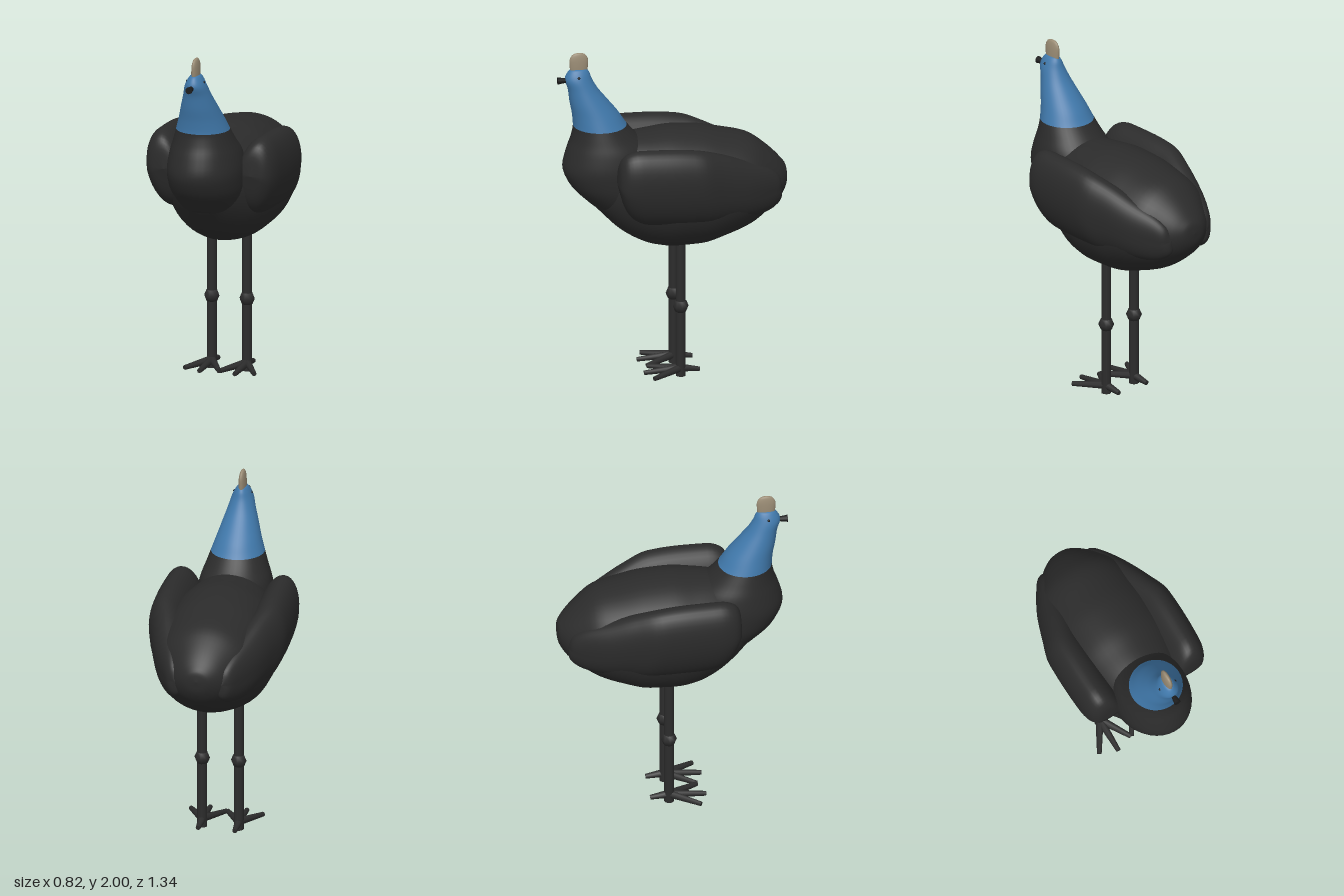
import * as THREE from 'three';

const mat = (name, color) => {
  const m = new THREE.MeshStandardMaterial({ color });
  m.name = name;
  return m;
};

// Smooth interpolation through rows of section values, without overshoot
function resample(keys, steps) {
  const last = keys.length - 1;
  const slope = (i, k) => {
    const a = i > 0 ? keys[i][k] - keys[i - 1][k] : keys[1][k] - keys[0][k];
    const b = i < last ? keys[i + 1][k] - keys[i][k] : a;
    return a * b > 0 ? (2 * a * b) / (a + b) : 0;
  };
  const rows = [];
  for (let i = 0; i < last; i++) {
    for (let s = 0; s < steps; s++) {
      const t = s / steps, u = 1 - t;
      rows.push(keys[i].map((p, k) =>
        u * u * (1 + 2 * t) * p + t * t * (3 - 2 * t) * keys[i + 1][k]
        + t * u * u * slope(i, k) - t * t * u * slope(i + 1, k)));
    }
  }
  rows.push(keys[last]);
  return rows;
}

// Skin of rings; place(row, angle) returns a point [x, y, z]
function loft(rows, place, sides = 40) {
  const pos = [], index = [];
  rows.forEach((row) => {
    for (let j = 0; j < sides; j++) pos.push(...place(row, (j / sides) * Math.PI * 2));
  });
  for (let i = 0; i < rows.length - 1; i++) {
    for (let j = 0; j < sides; j++) {
      const k = (j + 1) % sides;
      const a = i * sides + j, b = i * sides + k;
      index.push(a, b, b + sides, a, b + sides, a + sides);
    }
  }
  const g = new THREE.BufferGeometry();
  g.setAttribute('position', new THREE.Float32BufferAttribute(pos, 3));
  g.setIndex(index);
  g.computeVertexNormals();
  return g;
}

export function createModel() {
  const model = new THREE.Group();
  model.name = 'bird';
  const plumage = mat('black plumage', 0x2b2b2b);
  const blue = mat('blue skin', 0x3f77a9);
  const horn = mat('tan horn', 0x998b74);
  const legSkin = mat('dark leg skin', 0x2c2c2c);
  const dark = mat('dark beak and eyes', 0x1c1c1c);

  const add = (parent, name, geometry, material, x = 0, y = 0, z = 0) => {
    const m = new THREE.Mesh(geometry, material);
    m.name = name;
    m.position.set(x, y, z);
    parent.add(m);
    return m;
  };

  // Body: [z, bottom, top, half width]
  const bodyKeys = [
    [-0.672, 1.17, 1.17, 0], [-0.665, 1.11, 1.22, 0.06], [-0.63, 1.04, 1.27, 0.125],
    [-0.55, 0.965, 1.35, 0.2], [-0.44, 0.89, 1.425, 0.28], [-0.3, 0.835, 1.46, 0.325],
    [-0.15, 0.793, 1.49, 0.345], [0, 0.788, 1.5, 0.345], [0.12, 0.805, 1.49, 0.325],
    [0.22, 0.845, 1.48, 0.29], [0.32, 0.91, 1.46, 0.235], [0.41, 1.0, 1.4, 0.175],
    [0.47, 1.07, 1.33, 0.11], [0.5, 1.2, 1.2, 0],
  ];
  add(model, 'body', loft(resample(bodyKeys, 4), ([z, lo, hi, w], a) =>
    [w * Math.cos(a), (lo + hi) / 2 + ((hi - lo) / 2) * Math.sin(a), z], 48), plumage);

  // Folded wings, tail to shoulder: [z, centre x, centre y, half width, half height]
  const wingKeys = [
    [-0.62, 0.14, 1.14, 0, 0], [-0.6, 0.145, 1.14, 0.04, 0.07],
    [-0.53, 0.165, 1.145, 0.07, 0.13], [-0.4, 0.205, 1.165, 0.1, 0.175],
    [-0.25, 0.247, 1.2, 0.112, 0.21], [-0.1, 0.282, 1.225, 0.12, 0.235],
    [0.05, 0.283, 1.235, 0.122, 0.242], [0.24, 0.28, 1.245, 0.118, 0.238],
    [0.33, 0.275, 1.255, 0.1, 0.2], [0.364, 0.268, 1.265, 0.065, 0.12],
    [0.372, 0.265, 1.27, 0, 0],
  ];
  const lean = 0.14;
  for (const s of [1, -1]) {
    add(model, s > 0 ? 'leftWing' : 'rightWing', loft(resample(wingKeys, 4), ([z, cx, cy, w, h], a) => {
      const u = w * Math.cos(a), v = h * Math.sin(a), t = -s * lean;
      // The lower edge sweeps back
      return [s * cx + u * Math.cos(t) - v * Math.sin(t), cy + u * Math.sin(t) + v * Math.cos(t),
        z + 0.22 * Math.min(v, 0)];
    }), plumage);
  }

  // Breast, neck and head: [y, back z, front z, half width]
  const placeNeck = ([y, back, front, w], a) =>
    [w * Math.sin(a), y, (back + front) / 2 + ((front - back) / 2) * Math.cos(a)];
  const neckKeys = [
    [0.95, 0.25, 0.25, 0], [1.03, 0.12, 0.43, 0.14], [1.1, 0.1, 0.515, 0.185],
    [1.2, 0.1, 0.605, 0.215], [1.3, 0.1, 0.642, 0.222], [1.4, 0.13, 0.62, 0.207],
    [1.48, 0.21, 0.592, 0.18], [1.55, 0.27, 0.58, 0.156], [1.62, 0.315, 0.586, 0.132],
    [1.7, 0.378, 0.601, 0.106], [1.78, 0.44, 0.612, 0.08], [1.84, 0.473, 0.63, 0.062],
    [1.88, 0.488, 0.615, 0.043], [1.9, 0.505, 0.595, 0.027], [1.908, 0.55, 0.55, 0],
  ];
  const steps = 4, sides = 40, collar = 7 * steps;
  const neckRows = resample(neckKeys, steps);
  const neck = loft(neckRows, placeNeck, sides);
  neck.addGroup(0, collar * sides * 6, 0);
  neck.addGroup(collar * sides * 6, (neckRows.length - 1 - collar) * sides * 6, 1);
  add(model, 'neckAndHead', neck, [plumage, blue]);

  // Casque on the crown
  const casqueKeys = [
    [1.85, 0.55, 0.55, 0], [1.87, 0.502, 0.592, 0.022], [1.91, 0.495, 0.601, 0.022],
    [1.95, 0.493, 0.603, 0.02], [1.98, 0.503, 0.593, 0.015], [1.995, 0.522, 0.574, 0.009],
    [2, 0.548, 0.548, 0],
  ];
  add(model, 'casque', loft(resample(casqueKeys, 3), placeNeck, 24), horn);

  // Beak, flaring to its tip, and eyes
  const beak = add(model, 'beak', new THREE.CylinderGeometry(0.021, 0.011, 0.065, 12), dark, 0, 1.835, 0.64);
  beak.rotation.x = Math.PI / 2;
  for (const s of [1, -1]) {
    add(model, s > 0 ? 'leftEye' : 'rightEye', new THREE.SphereGeometry(0.009, 12, 8), dark, s * 0.049, 1.86, 0.557);
  }

  // Legs with a joint and four toes each
  const up = new THREE.Vector3(0, 1, 0);
  const toeTips = [[0, 0.215], [0.105, 0.175], [-0.105, 0.175], [0, -0.11]];
  for (const s of [1, -1]) {
    const leg = new THREE.Group();
    leg.name = s > 0 ? 'leftLeg' : 'rightLeg';
    leg.position.set(s * 0.108, 0, -0.03);
    add(leg, 'shin', new THREE.CylinderGeometry(0.029, 0.029, 0.9, 10), legSkin, 0, 0.45, 0);
    add(leg, 'joint', new THREE.SphereGeometry(0.046, 8, 4), legSkin, 0, 0.43, 0);
    for (const [x, z] of toeTips) {
      const from = new THREE.Vector3(0, 0.047, 0), to = new THREE.Vector3(x, 0.031, z);
      const dir = to.clone().sub(from);
      const toe = add(leg, 'toe', new THREE.CylinderGeometry(0.014, 0.024, dir.length(), 8), legSkin);
      toe.position.copy(from).addScaledVector(dir, 0.5);
      toe.quaternion.setFromUnitVectors(up, dir.normalize());
    }
    model.add(leg);
  }
  return model;
}
